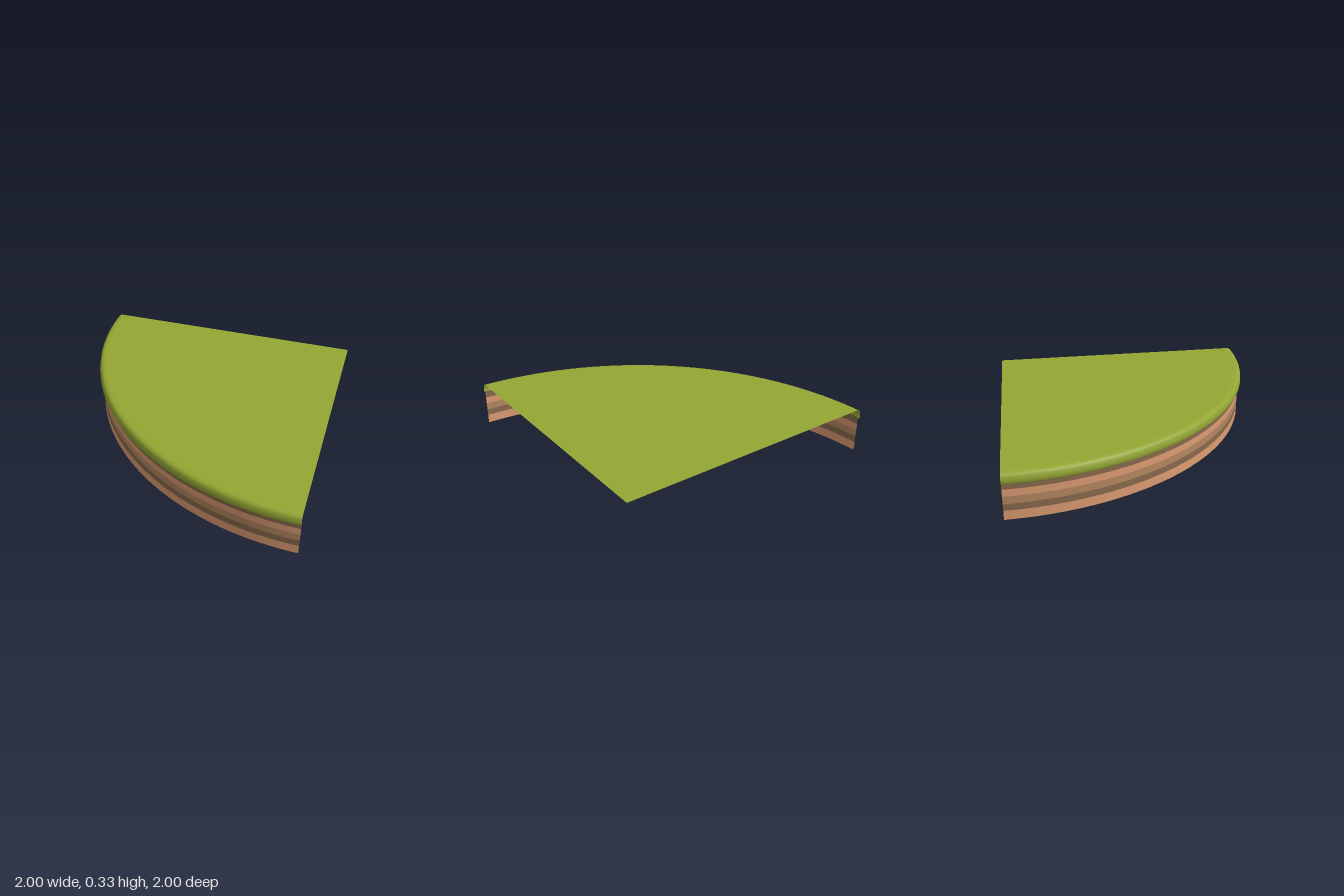
import * as THREE from 'three';

const SEGMENTS = 48;

// Quarter turn of a [radius, height] profile about the corner at (1, -1)
function quarter(name, color, profile) {
  const points = profile.map(([r, y]) => new THREE.Vector2(r, y));
  const geometry = new THREE.LatheGeometry(points, SEGMENTS, Math.PI * 1.5, Math.PI / 2);
  geometry.translate(1, 0, -1);
  const material = new THREE.MeshStandardMaterial({ color, side: THREE.DoubleSide });
  const mesh = new THREE.Mesh(geometry, material);
  mesh.name = name;
  return mesh;
}

export function createModel() {
  const group = new THREE.Group();
  group.name = 'roundedGroundCorner';

  // Thin curved wall made of stacked earth layers
  const clay = 0xdd9c72, soil = 0x8a6a4d, sand = 0xb58860;
  const wall = new THREE.Group();
  wall.name = 'earthWall';
  const layers = [
    [0, 0.065, clay],
    [0.065, 0.112, soil],
    [0.112, 0.165, sand],
    [0.165, 0.215, clay],
    [0.215, 0.27, soil],
  ];
  layers.forEach(([y0, y1, color], i) => {
    wall.add(quarter('earthLayer' + (i + 1), color, [[1.98, y0], [1.98, y1]]));
  });
  group.add(wall);

  // Grass edge: tucked underside, upright rim and rounded shoulder
  const grass = 0x94a633;
  group.add(quarter('grassLip', grass, [
    [1.98, 0.27], [1.984, 0.26], [1.993, 0.257], [2, 0.264], [2, 0.285],
    [1.996, 0.305], [1.988, 0.319], [1.975, 0.327], [1.955, 0.33], [1.94, 0.33],
  ]));

  // Flat grass surface
  group.add(quarter('grassTop', grass, [[1.94, 0.33], [0, 0.33]]));

  return group;
}
